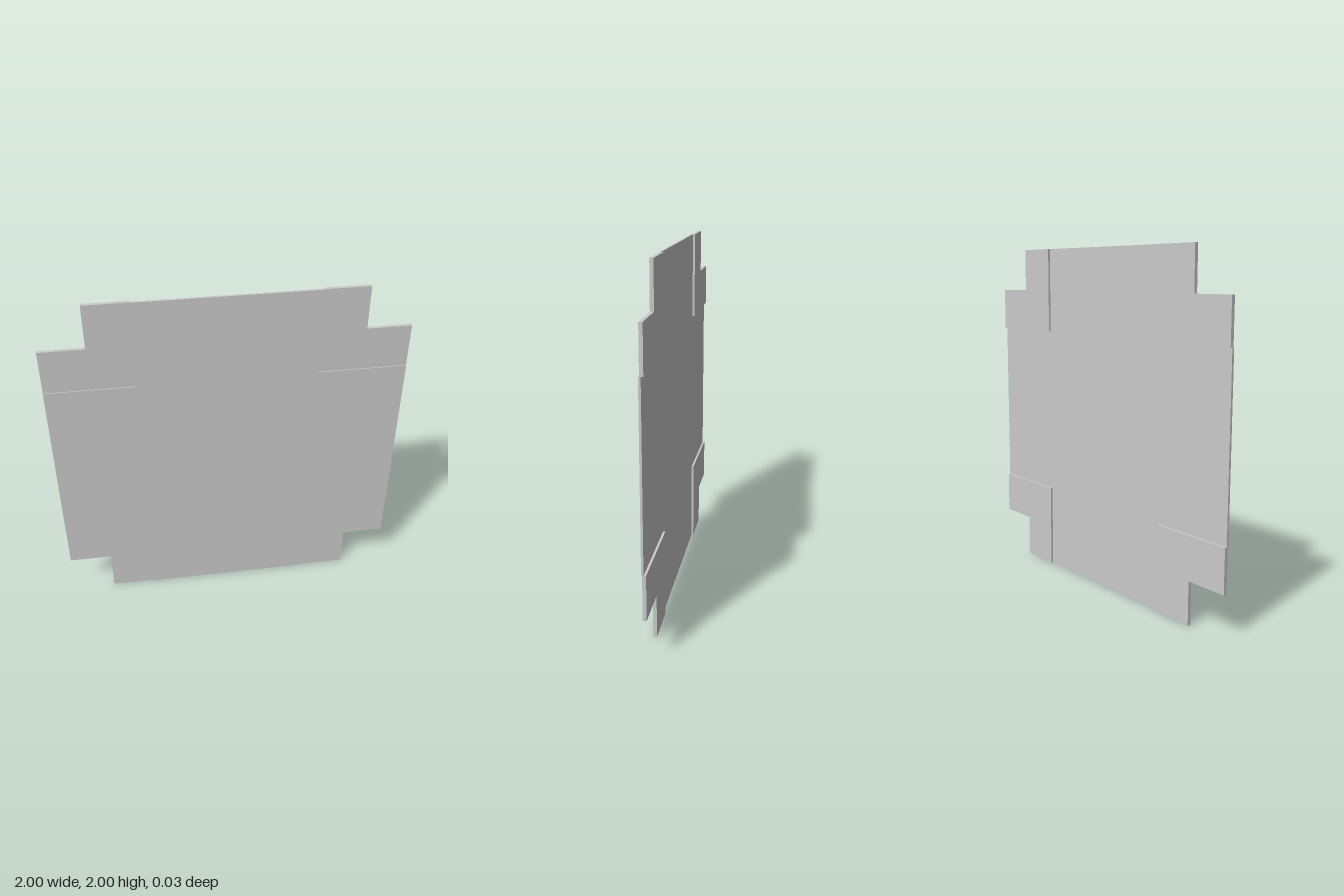
import * as THREE from 'three';

const material = new THREE.MeshStandardMaterial({ color: 0xcccccc, flatShading: true });

// Flat plate cut from an outline, between two depths
function plate(name, points, back, front) {
  const shape = new THREE.Shape(points.map(([x, y]) => new THREE.Vector2(x, y)));
  const geometry = new THREE.ExtrudeGeometry(shape, { depth: front - back, bevelEnabled: false });
  geometry.translate(0, 0, back);
  const mesh = new THREE.Mesh(geometry, material);
  mesh.name = name;
  return mesh;
}

export function createModel() {
  const group = new THREE.Group();
  group.name = 'crossPanel';

  // Thin cross-shaped panel, slightly proud at the front
  const cross = [
    [-0.5, -1], [0.5, -1], [0.5, -0.5], [1, -0.5], [1, 0.5], [0.5, 0.5],
    [0.5, 1], [-0.5, 1], [-0.5, 0.5], [-1, 0.5], [-1, -0.5], [-0.5, -0.5],
  ];
  const panel = plate('centrePanel', cross, 0, 0.0125);
  panel.position.y = 1;
  group.add(panel);

  // Thicker notched corner plates, standing out at the back
  const corner = [[0.5, 0.5], [1, 0.5], [1, 0.75], [0.75, 0.75], [0.75, 1], [0.5, 1]];
  const names = ['topLeftCorner', 'topRightCorner', 'bottomRightCorner', 'bottomLeftCorner'];
  names.forEach((name, i) => {
    const piece = plate(name, corner, -0.0125, 0.0075);
    piece.rotation.z = i * Math.PI / 2;
    piece.position.y = 1;
    group.add(piece);
  });

  return group;
}
